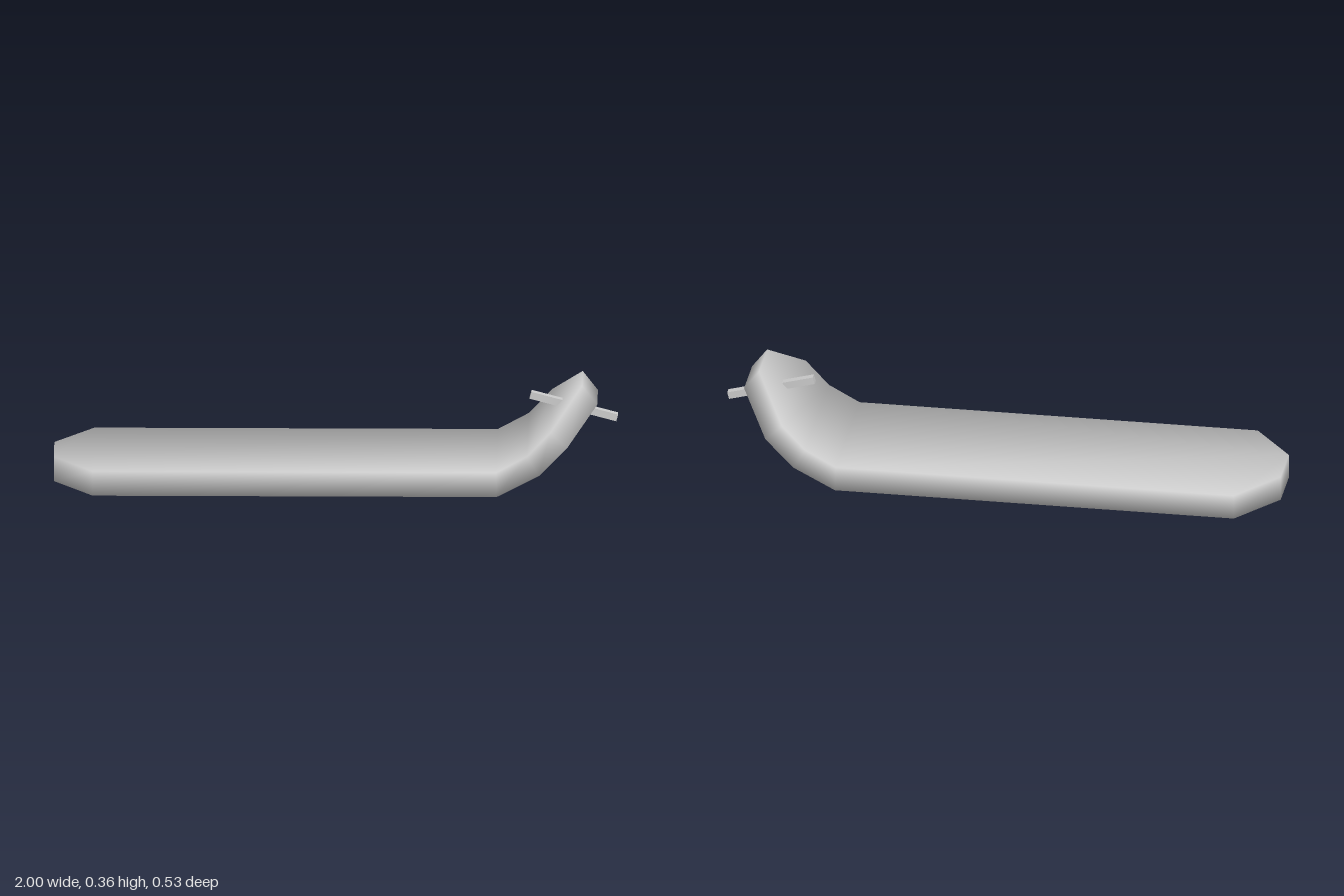
import * as THREE from 'three';

// Stations along the board: top point, bottom point (x, y), half width,
// and the rim's outward direction (along the board, across the board)
const STATIONS = [
  { top: [-1, 0.09], bottom: [-1, 0], half: 0.09, out: [-0.94, 0.33] },
  { top: [-0.86, 0.09], bottom: [-0.86, 0], half: 0.267, out: [-0.43, 0.9] },
  { top: [0.57, 0.09], bottom: [0.572, 0], half: 0.267, out: [0, 1] },
  { top: [0.68, 0.15], bottom: [0.722, 0.078], half: 0.267, out: [0, 1] },
  { top: [0.763, 0.239], bottom: [0.822, 0.182], half: 0.267, out: [0.43, 0.9] },
  { top: [0.873, 0.36], bottom: [0.927, 0.29], half: 0.09, out: [0.94, 0.33] },
];

// Slab with four corners per station and softly rounded rim normals
function boardGeometry() {
  const positions = [], normals = [], index = [];
  for (const { top, bottom, half, out } of STATIONS) {
    const up = new THREE.Vector3(top[0] - bottom[0], top[1] - bottom[1], 0).normalize();
    const along = new THREE.Vector3(up.y, -up.x, 0);
    for (const [point, lift, side] of [[top, 1, 1], [top, 1, -1], [bottom, -1, -1], [bottom, -1, 1]]) {
      positions.push(point[0], point[1], side * half);
      const n = up.clone().multiplyScalar(lift).addScaledVector(along, out[0]);
      n.z += side * out[1];
      normals.push(...n.normalize().toArray());
    }
  }
  const id = (station, corner) => station * 4 + corner;
  const fan = (loop) => {
    for (let i = 1; i < loop.length - 1; i++) index.push(loop[0], loop[i], loop[i + 1]);
  };
  const last = STATIONS.length - 1;

  // Top and bottom faces: flat deck, bend, raised nose
  for (const run of [[0, 1, 2], [2, 3], [3, 4], [4, 5]]) {
    const back = [...run].reverse();
    fan([...run.map((s) => id(s, 0)), ...back.map((s) => id(s, 1))]);
    fan([...run.map((s) => id(s, 2)), ...back.map((s) => id(s, 3))]);
  }
  // Long side edges
  for (let s = 0; s < last; s++) {
    fan([id(s, 3), id(s + 1, 3), id(s + 1, 0), id(s, 0)]);
    fan([id(s, 1), id(s + 1, 1), id(s + 1, 2), id(s, 2)]);
  }
  // End edges
  fan([id(0, 0), id(0, 1), id(0, 2), id(0, 3)]);
  fan([id(last, 3), id(last, 2), id(last, 1), id(last, 0)]);

  const geometry = new THREE.BufferGeometry();
  geometry.setAttribute('position', new THREE.Float32BufferAttribute(positions, 3));
  geometry.setAttribute('normal', new THREE.Float32BufferAttribute(normals, 3));
  geometry.setIndex(index);
  return geometry;
}

export function createModel() {
  const group = new THREE.Group();
  const material = new THREE.MeshStandardMaterial({ color: 0xcccccc });

  const board = new THREE.Mesh(boardGeometry(), material);
  board.name = 'board';
  group.add(board);

  // Slim peg passing through the raised nose
  const peg = new THREE.Mesh(new THREE.BoxGeometry(0.318, 0.026, 0.027), material);
  peg.name = 'nosePeg';
  peg.position.set(0.843, 0.259, 0);
  peg.rotation.z = -0.263;
  group.add(peg);

  return group;
}
